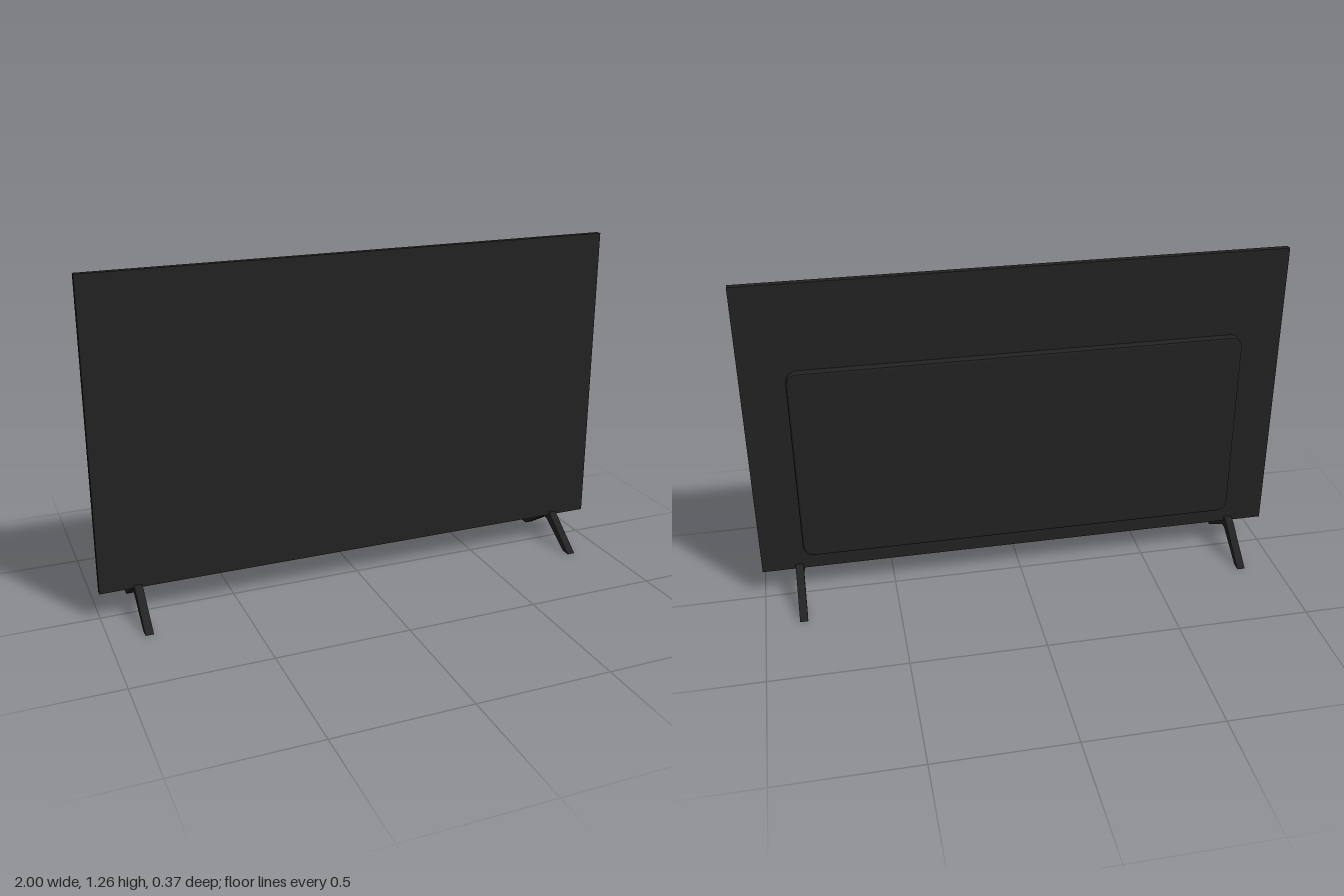
import * as THREE from 'three';

const black = new THREE.MeshStandardMaterial({ color: 0x222222 });
black.name = 'matte black';

function addPart(group, name, geometry) {
  const mesh = new THREE.Mesh(geometry, black);
  mesh.name = name;
  group.add(mesh);
  return mesh;
}

// Rectangle outline with rounded corners, centred on the origin
function roundedRect(w, h, r) {
  const x = w / 2 - r, y = h / 2 - r;
  const s = new THREE.Shape();
  s.absarc(x, y, r, 0, Math.PI / 2);
  s.absarc(-x, y, r, Math.PI / 2, Math.PI);
  s.absarc(-x, -y, r, Math.PI, Math.PI * 1.5);
  s.absarc(x, -y, r, Math.PI * 1.5, Math.PI * 2);
  s.closePath();
  return s;
}

export function createModel() {
  const tv = new THREE.Group();
  tv.name = 'television';

  // Thin display panel
  addPart(tv, 'screenPanel', new THREE.BoxGeometry(2, 1.155, 0.024)).position.set(0, 0.6875, 0.017);

  // Rear electronics housing with rounded corners and a bevelled rim
  const bevel = 0.008;
  const housing = new THREE.ExtrudeGeometry(roundedRect(1.68 - 2 * bevel, 0.76 - 2 * bevel, 0.035), {
    depth: 0.024, bevelEnabled: true, bevelSize: bevel, bevelThickness: bevel, bevelSegments: 2, curveSegments: 6,
  });
  addPart(tv, 'rearHousing', housing).position.set(0, 0.56, -0.019);

  // Splayed feet: an inverted V in the z-y plane, extruded across x
  const profile = [
    [0.187, 0], [0.03, 0.12], [0.015, 0.129], [-0.015, 0.129], [-0.03, 0.12],
    [-0.187, 0], [-0.15, 0], [-0.012, 0.088], [0.012, 0.088], [0.15, 0],
  ];
  const foot = new THREE.ExtrudeGeometry(
    new THREE.Shape(profile.map(([z, y]) => new THREE.Vector2(z, y))),
    { depth: 0.03, bevelEnabled: false },
  );
  foot.translate(0, 0, -0.015);
  foot.rotateY(Math.PI / 2);
  for (const [name, side] of [['leftFoot', 1], ['rightFoot', -1]]) {
    addPart(tv, name, foot).position.x = side * 0.86;
  }

  return tv;
}
